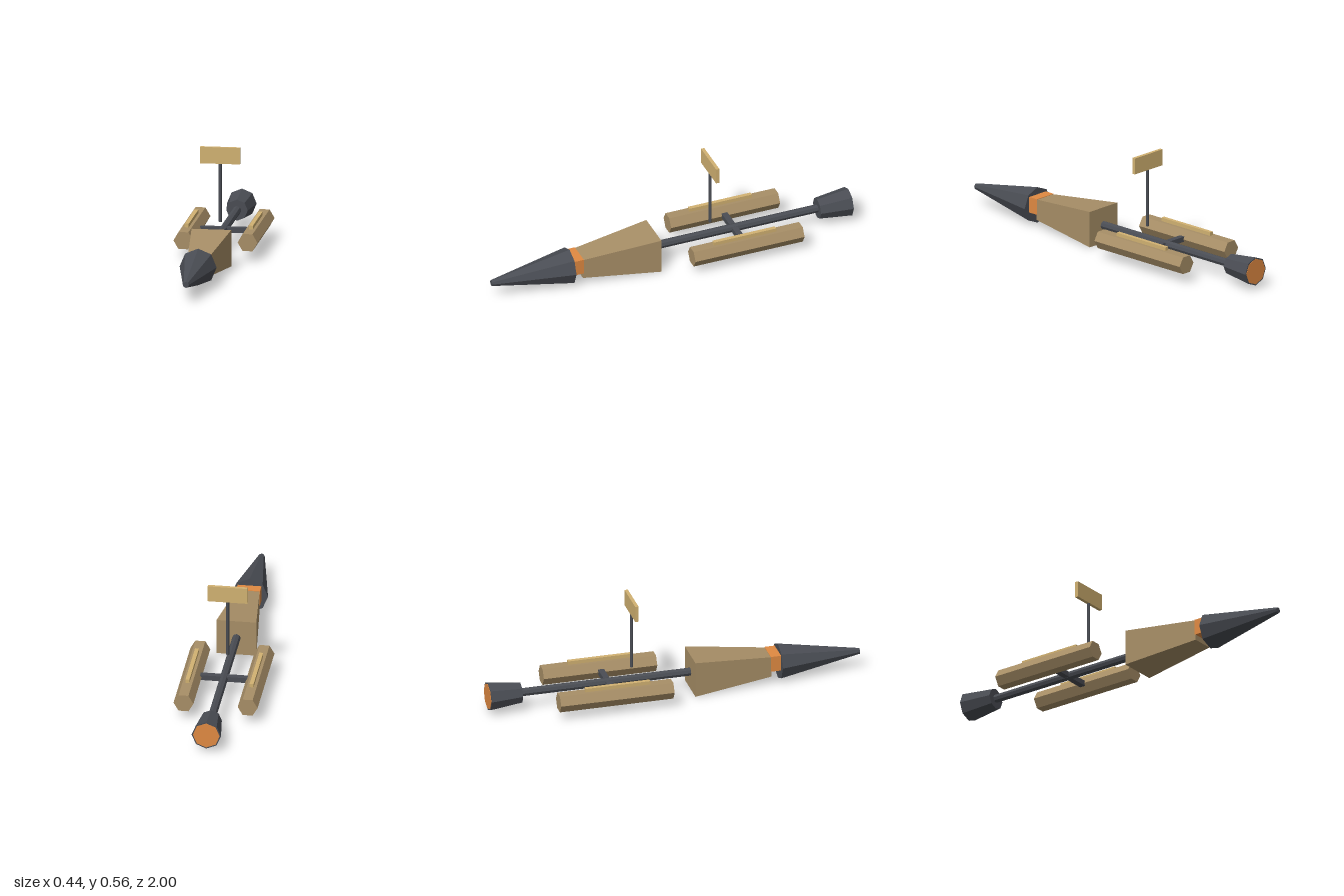
import * as THREE from 'three';

const AXIS = 0.097; // height of the long centre line

const mat = (color) => new THREE.MeshStandardMaterial({ color, flatShading: true });

export function createModel() {
  const model = new THREE.Group();
  const dark = mat(0x4a4d54), tan = mat(0xa88f67), gold = mat(0xd2b272), orange = mat(0xe08a42);

  const add = (name, geometry, material, x, y, z) => {
    const mesh = new THREE.Mesh(geometry, material);
    mesh.name = name;
    mesh.position.set(x, y, z);
    model.add(mesh);
    return mesh;
  };
  const box = (name, material, w, h, d, x, y, z) =>
    add(name, new THREE.BoxGeometry(w, h, d), material, x, y, z);
  // Faceted prism or frustum running along z from zBack to zFront
  const prism = (name, material, rBack, rFront, zBack, zFront, sides, turn = 0, x = 0) => {
    const g = new THREE.CylinderGeometry(rFront, rBack, zFront - zBack, sides, 1, false, turn);
    g.rotateX(Math.PI / 2);
    return add(name, g, material, x, AXIS, (zBack + zFront) / 2);
  };

  // Nose, collar and tapered square body
  prism('noseCone', dark, 0.097, 0.016, 0.562, 1, 8);
  box('collar', orange, 0.125, 0.085, 0.056, 0, 0.113, 0.535);
  const body = prism('body', tan, 0.104 * Math.SQRT2, 0.06 * Math.SQRT2, 0.09, 0.511, 4, Math.PI / 4);
  body.scale.y = 0.93;

  // Central boom with the flared tail nozzle
  prism('boom', dark, 0.022, 0.022, -0.85, 0.12, 8);
  prism('tailNozzle', dark, 0.077, 0.056, -0.998, -0.823, 8);
  prism('nozzleGlow', orange, 0.07, 0.07, -1, -0.99, 8);

  // Side pods with top rails, joined by a cross strut
  box('crossStrut', dark, 0.336, 0.028, 0.032, 0, AXIS, -0.355);
  for (const side of [-1, 1]) {
    const label = side > 0 ? 'left' : 'right';
    prism(label + 'Pod', tan, 0.052, 0.052, -0.664, -0.054, 6, Math.PI / 2, side * 0.168);
    box(label + 'Rail', gold, 0.021, 0.03, 0.349, side * 0.168, 0.146, -0.348);
  }

  // Upright mast and sign panel
  add('mast', new THREE.CylinderGeometry(0.0085, 0.0085, 0.32, 8), dark, 0, 0.326, -0.225);
  box('signPanel', gold, 0.208, 0.087, 0.018, 0, 0.518, -0.225);

  return model;
}
